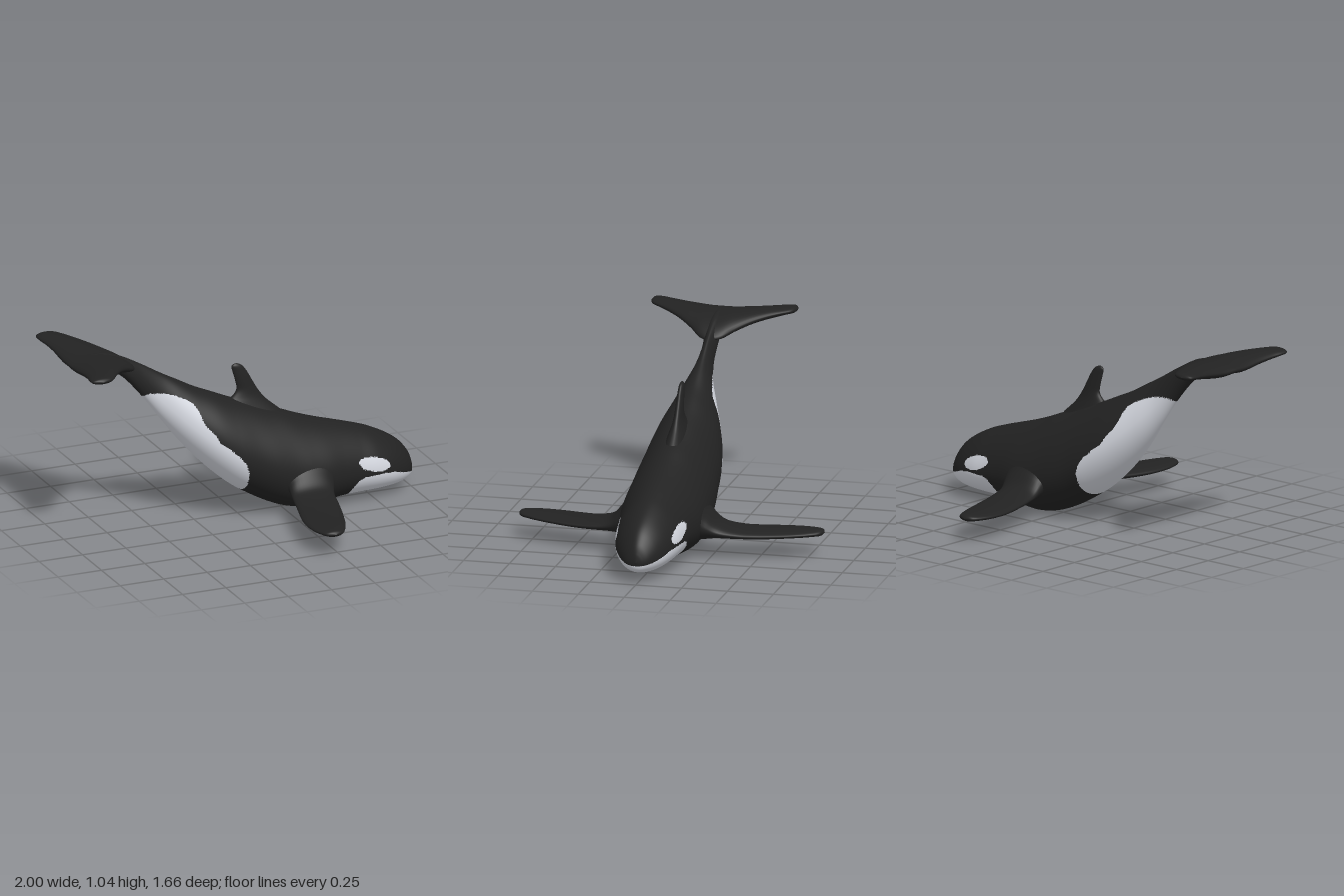
import * as THREE from 'three';

const black = new THREE.MeshStandardMaterial({ color: 0x222222 });
black.name = 'black skin';
const white = new THREE.MeshStandardMaterial({ color: 0xd5d8e0 });
white.name = 'white skin';

// Smoothly interpolate a table of cross-sections, t = 0..1 along its rows
function sample(table, t) {
  const f = t * (table.length - 1);
  const i = Math.min(Math.floor(f), table.length - 2);
  const k = f - i;
  const row = (n) => table[Math.max(0, Math.min(table.length - 1, n))];
  return table[i].map((b, c) => {
    const a = row(i - 1)[c], d = row(i + 1)[c], e = row(i + 2)[c];
    const m0 = (d - a) / 2, m1 = (e - b) / 2;
    return b + k * (m0 + k * (3 * (d - b) - 2 * m0 - m1 + k * (2 * (b - d) + m0 + m1)));
  });
}

// Closed tube of rings; isWhite(x, y) picks the faces of the second material
function skin(name, rows, cols, point, isWhite) {
  const pos = [], dark = [], light = [];
  for (let i = 0; i <= rows; i++) {
    for (let j = 0; j < cols; j++) pos.push(...point(i / rows, (j / cols) * Math.PI * 2));
  }
  const addFace = (...v) => {
    const mean = (c) => (pos[v[0] * 3 + c] + pos[v[1] * 3 + c] + pos[v[2] * 3 + c]) / 3;
    (isWhite && isWhite(mean(0), mean(1)) ? light : dark).push(...v);
  };
  for (let i = 0; i < rows; i++) {
    for (let j = 0; j < cols; j++) {
      const n = (j + 1) % cols;
      const a = i * cols + j, b = i * cols + n, c = b + cols, d = a + cols;
      addFace(a, b, d);
      addFace(b, c, d);
    }
  }
  const geo = new THREE.BufferGeometry();
  geo.setAttribute('position', new THREE.Float32BufferAttribute(pos, 3));
  geo.setIndex([...dark, ...light]);
  geo.computeVertexNormals();
  if (light.length) {
    geo.addGroup(0, dark.length, 0);
    geo.addGroup(dark.length, light.length, 1);
  }
  const mesh = new THREE.Mesh(geo, light.length ? [black, white] : black);
  mesh.name = name;
  return mesh;
}

// Body sections from tail to nose: x, top, bottom, half width
const BODY = [
  [-0.9, 1.0, 0.99, 0], [-0.88, 1.02, 0.965, 0.02], [-0.8, 1.025, 0.945, 0.04],
  [-0.72, 1.01, 0.91, 0.045], [-0.65, 0.98, 0.86, 0.04], [-0.55, 0.925, 0.745, 0.038],
  [-0.45, 0.865, 0.61, 0.06], [-0.35, 0.81, 0.48, 0.105], [-0.25, 0.755, 0.365, 0.15],
  [-0.15, 0.71, 0.265, 0.185], [-0.05, 0.665, 0.18, 0.205], [0.05, 0.625, 0.115, 0.215],
  [0.15, 0.585, 0.06, 0.225], [0.25, 0.55, 0.02, 0.228], [0.35, 0.51, 0.003, 0.23],
  [0.45, 0.475, 0.013, 0.222], [0.55, 0.445, 0.028, 0.203], [0.65, 0.415, 0.033, 0.186],
  [0.75, 0.38, 0.035, 0.173], [0.85, 0.33, 0.04, 0.145], [0.92, 0.28, 0.05, 0.11],
  [0.97, 0.22, 0.068, 0.07], [0.992, 0.17, 0.09, 0.035], [1, 0.125, 0.125, 0],
];

// Fin sections from root to tip: span, leading x, trailing x, centre, half thickness
const FLIPPER = [
  [0.14, 0.49, 0.2, 0.22, 0.13], [0.2, 0.475, 0.2, 0.2, 0.105], [0.24, 0.455, 0.198, 0.175, 0.075],
  [0.3, 0.43, 0.192, 0.147, 0.042], [0.4, 0.41, 0.172, 0.134, 0.029], [0.5, 0.385, 0.147, 0.13, 0.026],
  [0.6, 0.355, 0.127, 0.13, 0.024], [0.7, 0.32, 0.125, 0.132, 0.022], [0.77, 0.287, 0.14, 0.134, 0.02],
  [0.815, 0.255, 0.165, 0.135, 0.016], [0.832, 0.21, 0.21, 0.135, 0],
];
const FLUKE = [
  [0, -0.6, -0.98, 0.988, 0.038], [0.06, -0.62, -0.978, 0.986, 0.043], [0.12, -0.68, -0.976, 0.99, 0.041],
  [0.2, -0.75, -0.976, 1.0, 0.034], [0.28, -0.81, -0.985, 1.01, 0.027], [0.34, -0.85, -0.998, 1.017, 0.021],
  [0.382, -0.885, -0.993, 1.02, 0.016], [0.4, -0.94, -0.94, 1.02, 0],
];
const DORSAL = [
  [0.56, 0.24, -0.14, 0, 0.06], [0.62, 0.17, -0.09, 0, 0.04], [0.66, 0.135, -0.035, 0, 0.028],
  [0.7, 0.108, -0.005, 0, 0.022], [0.75, 0.08, -0.012, 0, 0.019], [0.8, 0.052, -0.026, 0, 0.016],
  [0.835, 0.024, -0.033, 0, 0.012], [0.85, -0.01, -0.01, 0, 0],
];

// Patch outlines in side view
const BELLY_PATCH = [
  [-0.56, 0.73], [-0.545, 0.758], [-0.52, 0.768], [-0.45, 0.764], [-0.39, 0.748], [-0.33, 0.72],
  [-0.29, 0.69], [-0.27, 0.655], [-0.255, 0.605], [-0.235, 0.57], [-0.2, 0.53], [-0.17, 0.48],
  [-0.12, 0.44], [-0.07, 0.395], [-0.035, 0.35], [-0.017, 0.3], [-0.01, 0.24], [-0.008, 0], [-0.57, 0],
];
const CHIN_PATCH = [
  [0.585, 0], [0.587, 0.085], [0.6, 0.12], [0.625, 0.152], [0.66, 0.165], [0.78, 0.166],
  [0.85, 0.155], [0.92, 0.13], [1.01, 0.1], [1.01, 0],
];

function inside(poly, x, y) {
  let hit = false;
  poly.forEach(([ax, ay], i) => {
    const [bx, by] = poly[(i + 1) % poly.length];
    if (ay > y !== by > y && x < ax + ((bx - ax) * (y - ay)) / (by - ay)) hit = !hit;
  });
  return hit;
}

function inEyePatch(x, y) {
  const dx = x - 0.72, dy = y - 0.225, tilt = 0.27;
  const u = dx * Math.cos(tilt) - dy * Math.sin(tilt);
  const v = dx * Math.sin(tilt) + dy * Math.cos(tilt);
  return (u / 0.1) ** 2 + (v / 0.037) ** 2 < 1;
}

const isWhite = (x, y) => inside(BELLY_PATCH, x, y) || inside(CHIN_PATCH, x, y) || inEyePatch(x, y);

// Egg-shaped section, widest low down
function bodyPoint(t, a) {
  const [x, top, bottom, w] = sample(BODY, t);
  const wide = bottom + 0.4 * (top - bottom);
  const c = Math.cos(a), up = Math.max(c, 0);
  return [x, wide + c * (c > 0 ? top - wide : wide - bottom), w * Math.sin(a) * (1 - 0.2 * up * up)];
}

// Rounded fin section: span, chord position and thickness position
function finPoint(table, t, a) {
  const [s, lead, trail, mid, half] = sample(table, t);
  return [s, (lead + trail) / 2 + ((lead - trail) / 2) * Math.cos(a), mid + half * Math.sin(a)];
}

export function createModel() {
  const whale = new THREE.Group();
  whale.name = 'whale';
  whale.add(skin('body', 300, 160, bodyPoint, isWhite));

  // Side flippers
  for (const side of [1, -1]) {
    whale.add(skin(side > 0 ? 'nearFlipper' : 'farFlipper', 60, 32, (t, a) => {
      const [s, x, y] = finPoint(FLIPPER, t, a * side);
      return [x, y, s * side];
    }));
  }

  // Tail flukes, one piece from tip to tip, dipping towards the tail stock
  const mirrored = FLUKE.slice(1).reverse().map(([s, ...rest]) => [-s, ...rest]);
  const bothFlukes = [...mirrored, ...FLUKE];
  whale.add(skin('tailFlukes', 90, 32, (t, a) => {
    const [s, x, y] = finPoint(bothFlukes, t, a);
    return [x, y - 1.1 * Math.max(0, x + 0.85) ** 2, s];
  }));

  // Back fin
  whale.add(skin('dorsalFin', 50, 32, (t, a) => {
    const [s, x, z] = finPoint(DORSAL, t, a);
    return [x, s, -z];
  }));
  return whale;
}
